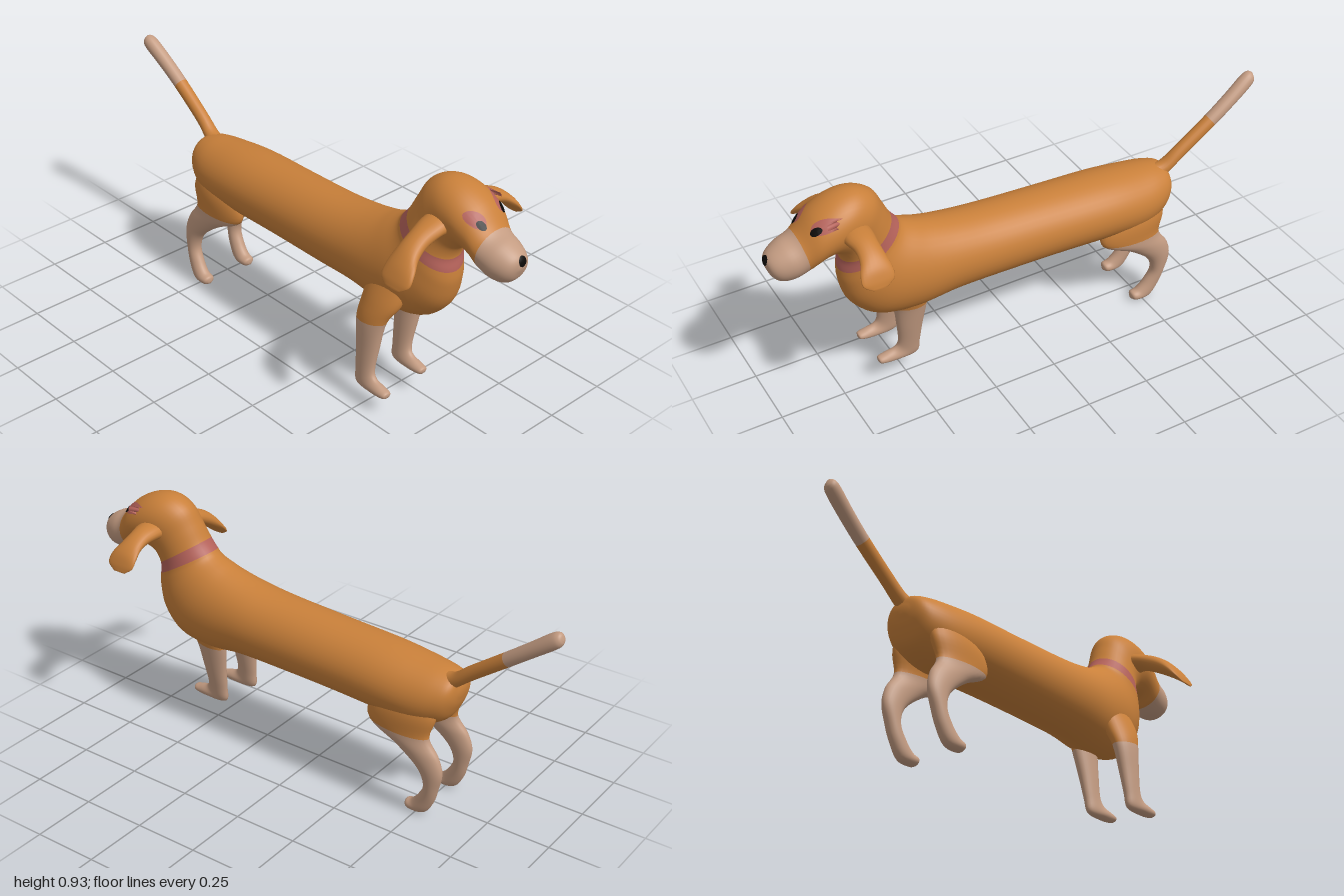
import * as THREE from 'three';

const mat = (name, color, side = THREE.FrontSide) => {
  const m = new THREE.MeshStandardMaterial({ color, side });
  m.name = name;
  return m;
};

// Smooth skin through oval rings [ax, ay, bx, by, halfWidth, centreZ];
// a and b are opposite points of the ring. bands = [[firstRing, material], ...]
function loft(name, rings, bands, steps = 5, sides = 28) {
  const A = new THREE.CatmullRomCurve3(rings.map(r => new THREE.Vector3(r[0], r[1], r[4])), false, 'catmullrom', 0.5);
  const B = new THREE.CatmullRomCurve3(rings.map(r => new THREE.Vector3(r[2], r[3], r[5])), false, 'catmullrom', 0.5);
  const rows = (rings.length - 1) * steps;
  const pos = [], index = [];
  const centres = [];
  for (let i = 0; i <= rows; i++) {
    const a = A.getPoint(i / rows), b = B.getPoint(i / rows);
    const cx = (a.x + b.x) / 2, cy = (a.y + b.y) / 2;
    centres.push([cx, cy, b.z]);
    for (let j = 0; j < sides; j++) {
      const t = j / sides * Math.PI * 2, c = Math.cos(t);
      pos.push(cx + c * (a.x - b.x) / 2, cy + c * (a.y - b.y) / 2, b.z + Math.sin(t) * a.z);
    }
  }
  const start = pos.length / 3, end = start + 1, last = rows * sides;
  pos.push(...centres[0], ...centres[rows]);
  for (let j = 0; j < sides; j++) index.push(start, (j + 1) % sides, j);
  for (let i = 0; i < rows; i++) for (let j = 0; j < sides; j++) {
    const p = i * sides + j, q = i * sides + (j + 1) % sides;
    index.push(p, q, p + sides, q, q + sides, p + sides);
  }
  for (let j = 0; j < sides; j++) index.push(end, last + j, last + (j + 1) % sides);
  const g = new THREE.BufferGeometry();
  g.setAttribute('position', new THREE.Float32BufferAttribute(pos, 3));
  g.setIndex(index);
  g.computeVertexNormals();
  const at = k => k === 0 ? 0 : sides * 3 + k * steps * sides * 6;
  bands.forEach(([first], k) => {
    const from = at(first), to = k + 1 < bands.length ? at(bands[k + 1][0]) : index.length;
    g.addGroup(from, to - from, k);
  });
  const mesh = new THREE.Mesh(g, bands.map(b => b[1]));
  mesh.name = name;
  return mesh;
}

// Thin oval laid onto the front of a surface
function patch(name, target, y, z, ry, rz, lift, material) {
  const g = new THREE.RingGeometry(0.001, 1, 24, 5);
  const p = g.attributes.position, ray = new THREE.Raycaster();
  for (let i = 0; i < p.count; i++) {
    const py = y + p.getY(i) * ry, pz = z - p.getX(i) * rz;
    ray.set(new THREE.Vector3(2, py, pz), new THREE.Vector3(-1, 0, 0));
    const hit = ray.intersectObject(target)[0];
    p.setXYZ(i, (hit ? hit.point.x : 0.8) + lift, py, pz);
  }
  g.computeVertexNormals();
  const mesh = new THREE.Mesh(g, material);
  mesh.name = name;
  return mesh;
}

export function createModel() {
  const model = new THREE.Group();
  model.name = 'dog';
  const coat = mat('orange coat', 0xc9803a);
  const tan = mat('pale tan', 0xc49c82);
  const pink = mat('dusty pink', 0xb5625a, THREE.DoubleSide);
  const black = mat('black', 0x0c0a08, THREE.DoubleSide);

  // Rump, trunk, chest, neck, head and muzzle in one skin
  const body = loft('body', [
    [-0.625, 0.53, -0.625, 0.50, 0.02, -0.01],
    [-0.61, 0.57, -0.612, 0.45, 0.075, -0.01],
    [-0.56, 0.587, -0.575, 0.39, 0.11, -0.01],
    [-0.48, 0.597, -0.48, 0.35, 0.135, -0.01],
    [-0.33, 0.612, -0.33, 0.355, 0.145, -0.01],
    [-0.1, 0.622, -0.1, 0.36, 0.142, -0.005],
    [0.15, 0.635, 0.15, 0.36, 0.14, 0],
    [0.29, 0.652, 0.32, 0.358, 0.14, 0],
    [0.39, 0.675, 0.48, 0.34, 0.14, 0],
    [0.445, 0.695, 0.62, 0.362, 0.135, 0],
    [0.475, 0.708, 0.705, 0.44, 0.122, 0],
    [0.49, 0.717, 0.733, 0.53, 0.11, 0],
    [0.50, 0.728, 0.733, 0.59, 0.104, 0],
    [0.53, 0.768, 0.725, 0.638, 0.1, -0.004],
    [0.56, 0.83, 0.74, 0.68, 0.098, -0.012],
    [0.595, 0.893, 0.77, 0.7, 0.102, -0.02],
    [0.66, 0.928, 0.797, 0.705, 0.107, -0.024],
    [0.74, 0.922, 0.82, 0.7, 0.107, -0.025],
    [0.82, 0.882, 0.838, 0.687, 0.1, -0.024],
    [0.885, 0.815, 0.86, 0.67, 0.088, -0.018],
    [0.94, 0.792, 0.905, 0.65, 0.08, -0.016],
    [0.977, 0.77, 0.95, 0.65, 0.064, -0.016],
    [0.994, 0.75, 0.98, 0.672, 0.042, -0.016],
    [0.998, 0.725, 0.996, 0.71, 0.01, -0.016],
  ], [[0, coat], [12, pink], [13, coat], [19, tan]], 5, 40);
  model.add(body);

  // Legs: rows are front point, rear point, half width; z runs from hip to foot
  const leg = (name, rows, zs) => model.add(loft(name,
    rows.map((r, i) => [...r, zs[i]]), [[0, coat], [2, tan]]));
  const hind = [
    [-0.36, 0.49, -0.55, 0.51, 0.04],
    [-0.30, 0.42, -0.57, 0.42, 0.05],
    [-0.30, 0.345, -0.55, 0.335, 0.042],
    [-0.41, 0.285, -0.592, 0.265, 0.036],
    [-0.505, 0.21, -0.608, 0.2, 0.03],
    [-0.533, 0.14, -0.592, 0.13, 0.027],
    [-0.51, 0.085, -0.572, 0.065, 0.027],
    [-0.48, 0.05, -0.535, 0.01, 0.028],
    [-0.457, 0.04, -0.475, 0.003, 0.025],
    [-0.452, 0.025, -0.454, 0.012, 0.008],
  ];
  leg('hindLegLeft', hind, [0.06, 0.08, 0.092, 0.1, 0.107, 0.114, 0.12, 0.125, 0.126, 0.126]);
  leg('hindLegRight', hind, [-0.07, -0.09, -0.1, -0.1, -0.097, -0.092, -0.086, -0.082, -0.08, -0.08]);
  const front = [
    [0.6, 0.5, 0.42, 0.5, 0.045],
    [0.59, 0.42, 0.418, 0.41, 0.05],
    [0.553, 0.345, 0.42, 0.33, 0.039],
    [0.535, 0.23, 0.434, 0.22, 0.031],
    [0.528, 0.15, 0.442, 0.13, 0.025],
    [0.542, 0.118, 0.452, 0.07, 0.024],
    [0.578, 0.104, 0.53, 0.063, 0.025],
    [0.604, 0.096, 0.595, 0.068, 0.02],
    [0.609, 0.088, 0.608, 0.078, 0.006],
  ];
  leg('frontLegLeft', front, [0.08, 0.115, 0.148, 0.162, 0.172, 0.177, 0.179, 0.18, 0.18]);
  leg('frontLegRight', front.map(([a, b, c, d, w]) => [a, b + 0.02, c, d + 0.02, w]),
    [-0.06, -0.055, -0.042, -0.025, -0.012, -0.004, -0.001, 0, 0]);

  // Raised tail with a pale end
  model.add(loft('tail', [
    [-0.57, 0.5, -0.55, 0.58, 0.035, -0.02],
    [-0.625, 0.545, -0.60, 0.592, 0.03, -0.03],
    [-0.69, 0.597, -0.66, 0.64, 0.026, -0.035],
    [-0.82, 0.692, -0.79, 0.736, 0.027, -0.037],
    [-0.91, 0.757, -0.88, 0.803, 0.028, -0.033],
    [-0.982, 0.808, -0.95, 0.856, 0.028, -0.026],
    [-0.999, 0.828, -0.978, 0.868, 0.022, -0.024],
    [-1.0, 0.845, -0.992, 0.864, 0.008, -0.024],
  ], [[0, coat], [3, tan]], 5, 20));

  // Drooping ears, drawn sideways and turned out from the head
  const left = loft('earLeft', [
    [0.05, 0.83, 0.05, 0.75, 0.055, -0.7],
    [0.1, 0.818, 0.095, 0.755, 0.052, -0.7],
    [0.16, 0.795, 0.15, 0.732, 0.044, -0.7],
    [0.215, 0.762, 0.195, 0.708, 0.048, -0.705],
    [0.258, 0.718, 0.235, 0.685, 0.062, -0.715],
    [0.284, 0.675, 0.27, 0.66, 0.064, -0.72],
    [0.295, 0.645, 0.291, 0.641, 0.03, -0.72],
  ], [[0, coat]], 5, 20);
  left.rotation.y = -Math.PI / 2;
  const right = loft('earRight', [
    [0.08, 0.84, 0.08, 0.765, 0.055, 0.7],
    [0.14, 0.838, 0.14, 0.772, 0.052, 0.7],
    [0.19, 0.828, 0.185, 0.77, 0.044, 0.697],
    [0.24, 0.803, 0.225, 0.76, 0.047, 0.698],
    [0.275, 0.77, 0.258, 0.738, 0.058, 0.703],
    [0.293, 0.732, 0.283, 0.717, 0.058, 0.705],
    [0.3, 0.703, 0.296, 0.7, 0.026, 0.705],
  ], [[0, coat]], 5, 20);
  right.rotation.y = Math.PI / 2;
  model.add(left, right);

  // Pink brows, eyes and nose
  for (const [side, y, z, out] of [['Left', 0.836, 0.03, 0.004], ['Right', 0.849, -0.092, -0.004]]) {
    model.add(patch('brow' + side, body, y + 0.013, z + out, 0.024, 0.028, 0.003, pink));
    model.add(patch('eye' + side, body, y, z, 0.014, 0.014, 0.007, black));
  }
  model.add(patch('nose', body, 0.745, -0.02, 0.018, 0.018, 0.004, black));
  return model;
}
